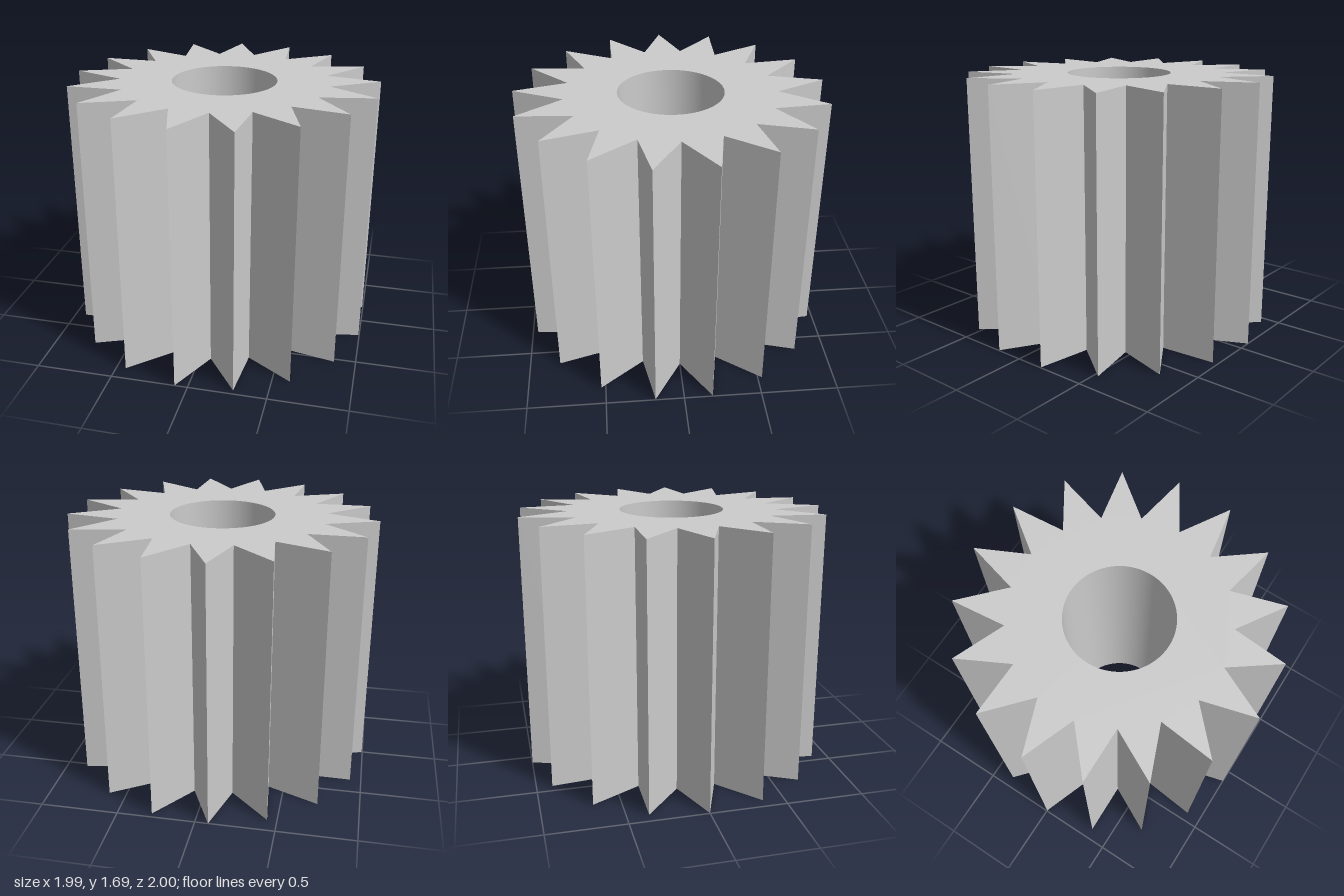
import * as THREE from 'three';
import { toCreasedNormals } from 'three/addons/utils/BufferGeometryUtils.js';

const TEETH = 17;
const TIP_RADIUS = 1.004;
const ROOT_RADIUS = 0.68;
const BORE_RADIUS = 0.34;
const HEIGHT = 1.69;
const OFFSET_X = 0.0085; // an odd tooth count is not symmetric in x

export function createModel() {
  const group = new THREE.Group();
  group.name = 'gear';

  // Star outline: alternating tips and roots, first tip at -x
  const outline = [];
  for (let i = 0; i < TEETH * 2; i++) {
    const angle = Math.PI + (i * Math.PI) / TEETH;
    const radius = i % 2 === 0 ? TIP_RADIUS : ROOT_RADIUS;
    outline.push(new THREE.Vector2(radius * Math.cos(angle), radius * Math.sin(angle)));
  }
  const shape = new THREE.Shape(outline);

  // Round bore through the middle
  const bore = new THREE.Path();
  bore.absarc(0, 0, BORE_RADIUS, 0, Math.PI * 2, true);
  shape.holes.push(bore);

  // Extrude upright; sharp teeth, smooth bore wall
  let geometry = new THREE.ExtrudeGeometry(shape, {
    depth: HEIGHT,
    bevelEnabled: false,
    curveSegments: 64,
  });
  geometry.rotateX(-Math.PI / 2);
  geometry.translate(OFFSET_X, 0, 0);
  geometry = toCreasedNormals(geometry, 0.4);

  const body = new THREE.Mesh(geometry, new THREE.MeshStandardMaterial({ color: 0xcccccc }));
  body.name = 'toothedBody';
  group.add(body);
  return group;
}
